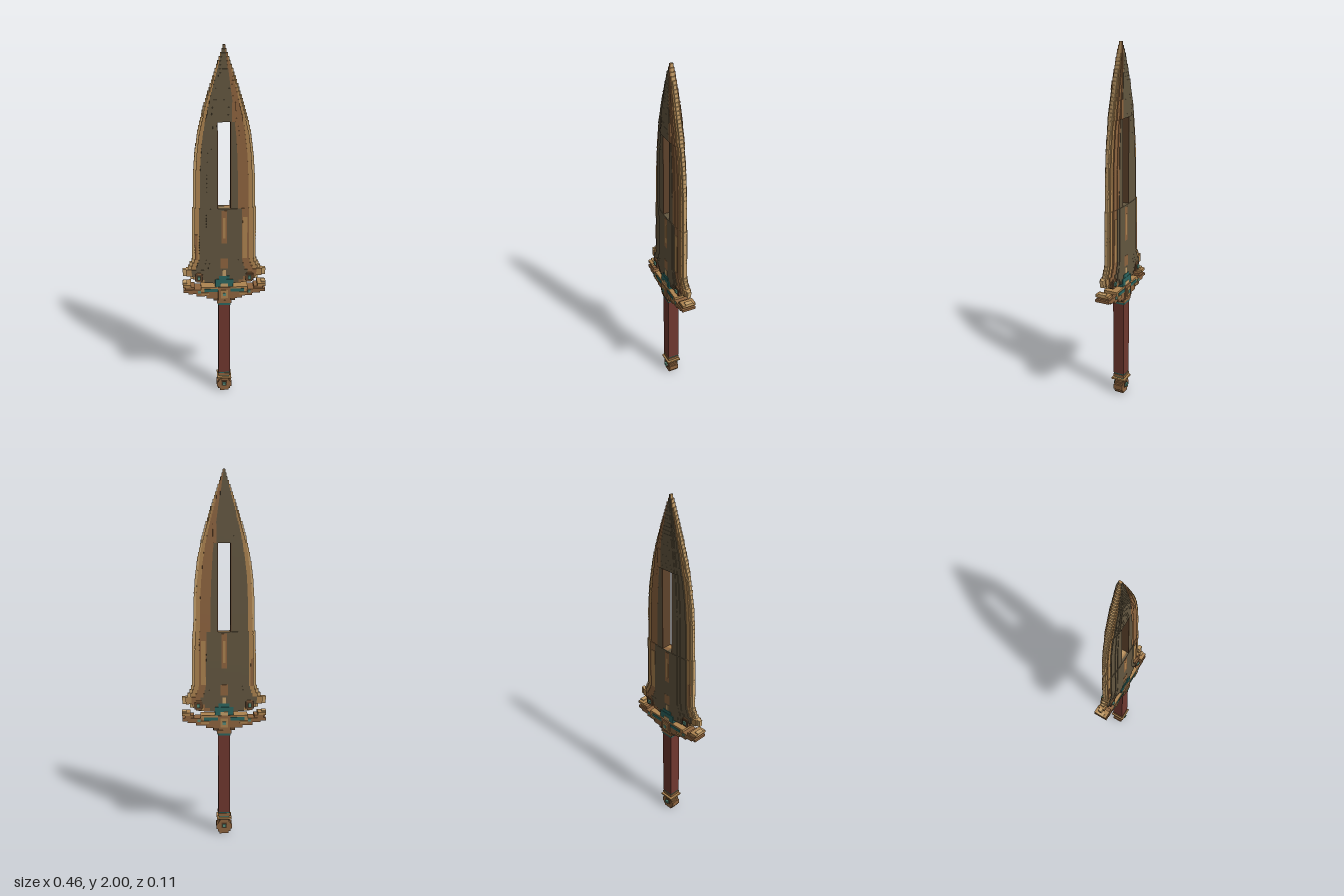
import * as THREE from 'three';
import { mergeGeometries } from 'three/addons/utils/BufferGeometryUtils.js';

const mat = (name, color) => {
  const m = new THREE.MeshStandardMaterial({ color });
  m.name = name;
  return m;
};

export function createModel() {
  const model = new THREE.Group();
  model.name = 'dagger';
  const M = {
    olive: mat('dark olive bronze', 0x645740),
    brown: mat('brown bronze', 0x8f653f),
    tan: mat('tan bronze', 0xae8450),
    light: mat('worn pale edge', 0xc6a06a),
    dark: mat('dark brown', 0x5f432c),
    red: mat('red leather', 0x70382f),
    teal: mat('deep teal', 0x2c6660),
    patina: mat('pale teal', 0x5a8c7a),
  };

  // Collects blocks of one part and merges them into one mesh per colour
  function part(name, fill) {
    const group = new THREE.Group();
    group.name = name;
    const lists = {};
    const box = (c, x0, x1, y0, y1, z0, z1) => {
      const g = new THREE.BoxGeometry(Math.abs(x1 - x0), y1 - y0, z1 - z0);
      g.translate((x0 + x1) / 2, (y0 + y1) / 2, (z0 + z1) / 2);
      (lists[c] ??= []).push(g);
    };
    // centred block, and a mirrored pair
    const slab = (c, w, y0, y1, d) => box(c, -w, w, y0, y1, -d, d);
    const pair = (c, x0, x1, y0, y1, d) => {
      for (const s of [-1, 1]) box(c, s * x0, s * x1, y0, y1, -d, d);
    };
    fill({ box, slab, pair });
    for (const c in lists) {
      const mesh = new THREE.Mesh(mergeGeometries(lists[c]), M[c]);
      mesh.name = `${name} ${M[c].name}`;
      group.add(mesh);
    }
    model.add(group);
  }

  // Linear lookup in a list of [y, value]
  const lookup = (pts, y) => {
    for (let i = 1; i < pts.length; i++) {
      const [a, va] = pts[i - 1], [b, vb] = pts[i];
      if (y <= b) return va + (vb - va) * Math.max(0, (y - a) / (b - a));
    }
    return pts[pts.length - 1][1];
  };
  const outline = [[0.71, 0.12], [0.73, 0.16], [0.745, 0.2], [0.76, 0.228], [0.78, 0.23], [0.79, 0.205],
    [0.81, 0.195], [0.85, 0.175], [1.15, 0.171], [1.16, 0.166], [1.33, 0.163], [1.45, 0.154], [1.55, 0.14],
    [1.62, 0.125], [1.7, 0.104], [1.8, 0.072], [1.9, 0.038], [1.97, 0.013], [2, 0.004]];
  const depth = [[0.71, 0.031], [1.15, 0.031], [1.16, 0.028], [1.61, 0.028], [1.62, 0.033], [1.8, 0.03],
    [1.95, 0.019], [2, 0.008]];

  // Blade: stepped rows, each a stack of nested layers from thin edge to thick spine
  const sections = [[0.71, 1.15, 22], [1.15, 1.62, 20], [1.62, 2, 20]];
  const layers = [ // share of width, share of depth, colour on -x, colour on +x
    [1, 0.33, 'light', 'light'],
    [0.92, 0.6, 'tan', 'tan'],
    [0.78, 0.82, 'olive', 'brown'],
    [0.56, 0.92, 'olive', 'brown'],
    [0.44, 1, 'olive', 'olive'],
  ];
  part('blade', ({ box }) => {
    sections.forEach(([from, to, n], k) => {
      const inner = k === 1 ? 0.035 : 0;
      const h = (to - from) / n;
      for (let i = 0; i < n; i++) {
        const y = from + i * h;
        const w = lookup(outline, y + h / 2), d = lookup(depth, y + h / 2);
        for (const [fw, fd, left, right] of layers) {
          // the lower section keeps its dark face further out on the right
          const c = k === 0 && fw === 0.56 ? 'olive' : right;
          if (w * fw <= inner) continue;
          box(left, -w * fw, -inner, y, y + h, -d * fd, d * fd);
          box(c, inner, w * fw, y, y + h, -d * fd, d * fd);
        }
      }
    });
    // dark rails around the window
    for (const s of [-1, 1]) box('dark', s * 0.033, s * 0.038, 1.15, 1.62, -0.0285, 0.0285);
  });

  // Worn streaks on both faces of the lower blade
  part('wornStreaks', ({ slab, box }) => {
    slab('brown', 0.015, 0.95, 1.14, 0.032);
    slab('tan', 0.007, 0.98, 1.1, 0.0325);
    slab('brown', 0.02, 0.8, 0.86, 0.032);
    slab('light', 0.009, 0.74, 0.79, 0.0325);
    box('tan', 0.1, 0.125, 0.86, 1.1, -0.027, 0.027);
    box('brown', -0.16, -0.145, 0.85, 1.0, -0.02, 0.02);
    box('brown', 0.04, 0.06, 1.62, 1.72, -0.0335, 0.0335);
  });

  // Rivets at the flared base of the blade
  part('bladeRivets', ({ pair }) => {
    pair('dark', 0.118, 0.162, 0.725, 0.765, 0.034);
    pair('brown', 0.125, 0.155, 0.718, 0.772, 0.032);
    pair('patina', 0.131, 0.149, 0.735, 0.755, 0.042);
  });

  // Neck joining blade and guard
  part('neck', ({ slab }) => {
    slab('teal', 0.05, 0.69, 0.735, 0.036);
    slab('teal', 0.03, 0.735, 0.755, 0.034);
    slab('light', 0.02, 0.69, 0.71, 0.038);
  });

  // Guard: stepped wings, upturned tips, inlays and a central boss
  part('guard', ({ slab, pair }) => {
    slab('dark', 0.06, 0.605, 0.62, 0.036);
    slab('brown', 0.1, 0.62, 0.635, 0.038);
    slab('brown', 0.155, 0.635, 0.65, 0.039);
    slab('brown', 0.2, 0.65, 0.663, 0.04);
    slab('tan', 0.13, 0.663, 0.69, 0.04);
    pair('brown', 0.12, 0.228, 0.66, 0.675, 0.04);
    pair('brown', 0.165, 0.215, 0.675, 0.69, 0.034);
    pair('tan', 0.185, 0.23, 0.69, 0.705, 0.038);
    pair('light', 0.207, 0.232, 0.699, 0.711, 0.021);
    pair('tan', 0.085, 0.127, 0.645, 0.66, 0.046);
    pair('teal', 0.035, 0.11, 0.662, 0.68, 0.043);
    pair('patina', 0.131, 0.147, 0.655, 0.67, 0.043);
    slab('brown', 0.034, 0.61, 0.69, 0.045);
    slab('tan', 0.02, 0.625, 0.675, 0.05);
    slab('patina', 0.009, 0.64, 0.658, 0.053);
  });

  // Grip with collars
  part('grip', ({ slab }) => {
    slab('red', 0.033, 0.13, 0.58, 0.033);
    slab('teal', 0.035, 0.575, 0.588, 0.035);
    slab('brown', 0.04, 0.588, 0.606, 0.038);
    slab('teal', 0.031, 0.12, 0.13, 0.031);
  });

  // Pommel: ringed neck, stepped knob and gem
  part('pommel', ({ slab }) => {
    slab('brown', 0.034, 0.106, 0.122, 0.034);
    slab('patina', 0.028, 0.098, 0.106, 0.028);
    slab('tan', 0.041, 0.088, 0.098, 0.041);
    slab('dark', 0.026, 0.075, 0.088, 0.024);
    [[0, 0.025], [0.012, 0.035], [0.026, 0.043], [0.056, 0.035], [0.068, 0.027], [0.078, 0]].forEach(
      ([y, w], i, a) => i < a.length - 1 && slab('brown', w, y, a[i + 1][0], 0.027));
    slab('dark', 0.016, 0.033, 0.065, 0.031);
    slab('patina', 0.01, 0.04, 0.058, 0.041);
  });

  return model;
}
